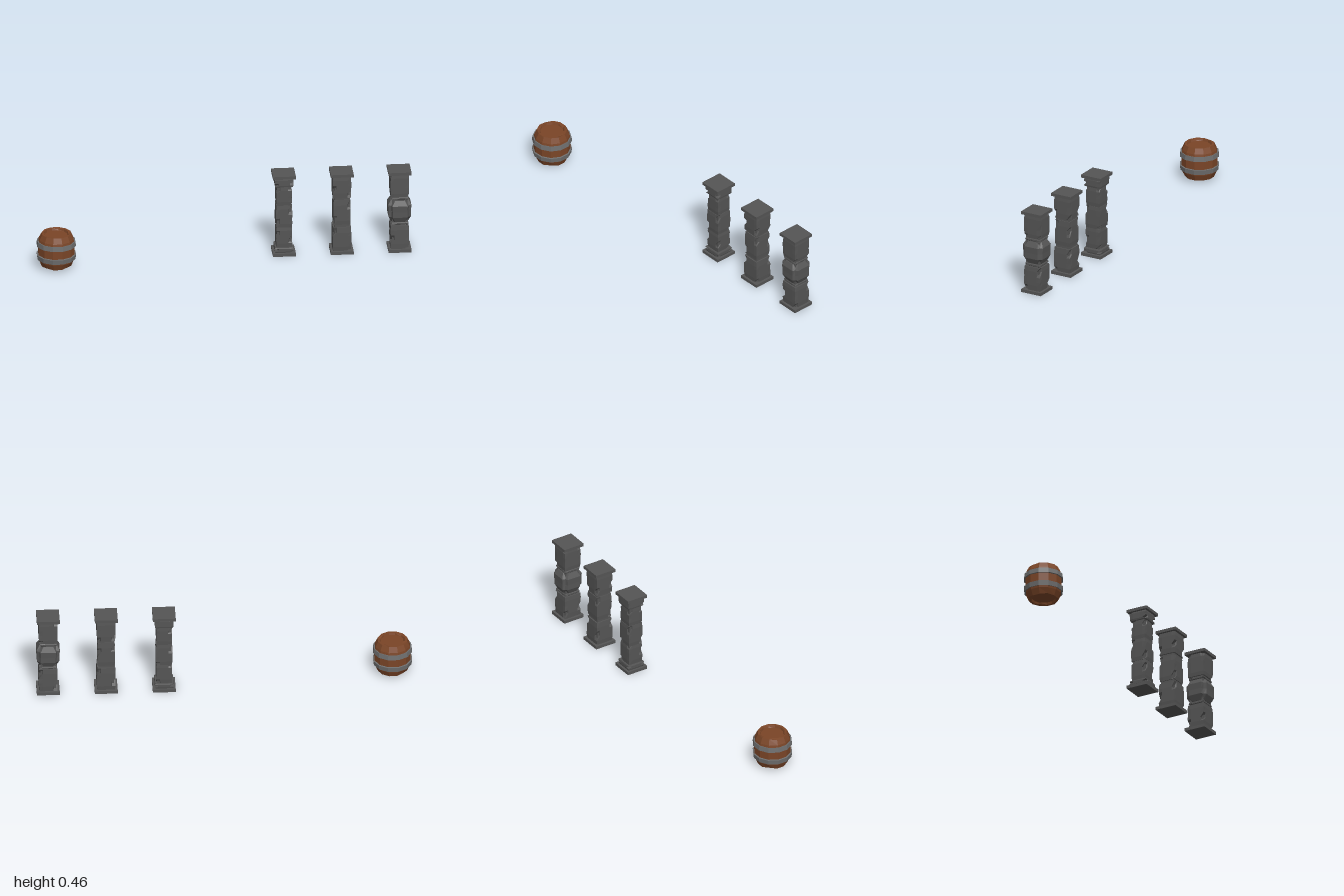
import * as THREE from 'three';

const stone = new THREE.MeshStandardMaterial({ color: 0x555555, flatShading: true });
const wood = new THREE.MeshStandardMaterial({ color: 0x7a4527, flatShading: true });
const iron = new THREE.MeshStandardMaterial({ color: 0x6e6e6e, flatShading: true });

function seeded(seed) {
  let s = seed;
  return () => (s = (s * 16807) % 2147483647) / 2147483647;
}

function add(parent, name, geometry, material, y = 0) {
  const mesh = new THREE.Mesh(geometry, material);
  mesh.name = name;
  mesh.position.y = y;
  parent.add(mesh);
  return mesh;
}

// Closed solid through horizontal rings { y, pts: [[x, z], ...] }, listed bottom to top
function loft(rings) {
  const pos = [];
  const n = rings[0].pts.length;
  const put = (r, i) => pos.push(r.pts[i % n][0], r.y, r.pts[i % n][1]);
  for (let k = 0; k < rings.length - 1; k++) {
    const lo = rings[k], hi = rings[k + 1];
    for (let i = 0; i < n; i++) {
      put(lo, i); put(hi, i); put(lo, i + 1);
      put(lo, i + 1); put(hi, i); put(hi, i + 1);
    }
  }
  const low = rings[0], top = rings[rings.length - 1];
  for (let i = 0; i < n; i++) {
    pos.push(0, low.y, 0); put(low, i); put(low, i + 1);
    pos.push(0, top.y, 0); put(top, i + 1); put(top, i);
  }
  const g = new THREE.BufferGeometry();
  g.setAttribute('position', new THREE.Float32BufferAttribute(pos, 3));
  g.computeVertexNormals();
  return g;
}

// Square ring with three points per corner; chips[c] cuts corner c inwards
function squareRing(y, half, chips, margin) {
  const pts = [];
  for (let c = 0; c < 4; c++) {
    const a = c * Math.PI / 2, cos = Math.cos(a), sin = Math.sin(a);
    const tip = half - chips[c], side = half - margin;
    for (const [x, z] of [[half, side], [tip, tip], [side, half]]) {
      pts.push([x * cos - z * sin, x * sin + z * cos]);
    }
  }
  return { y, pts };
}

// Stone block with notches broken out of its upright edges
function chippedBlock(y0, y1, half, rand) {
  const h = y1 - y0, levels = 6;
  const hits = [0, 1, 2, 3].map(() => Math.floor(rand() * levels));
  const rings = [];
  for (let k = 0; k < levels; k++) {
    const inner = k > 0 && k < levels - 1;
    const t = k / (levels - 1) + (inner ? (rand() - 0.5) * 0.08 : 0);
    const chips = hits.map((hit) => (hit === k ? 0.012 + rand() * 0.007 : rand() * 0.002));
    rings.push(squareRing(y0 + h * t, half - (inner ? 0 : 0.002), chips, 0.021));
  }
  return loft(rings);
}

// Swollen middle block with bevelled upright edges
function bulgedBlock(y0, y1, rand) {
  const h = y1 - y0;
  const profile = [[0, 0.046], [0.25, 0.06], [0.5, 0.06], [0.78, 0.062], [1, 0.047]];
  return loft(profile.map(([t, half]) => {
    const chips = [0, 1, 2, 3].map(() => 0.011 + rand() * 0.007);
    return squareRing(y0 + h * t, half, chips, 0.021);
  }));
}

// blocks: rows of [bottom, top, half width, bulged]
function pillar(name, x, blocks, coreHalf, seed) {
  const g = new THREE.Group();
  g.name = name;
  g.position.set(x, 0, -0.069);
  const rand = seeded(seed);
  add(g, 'basePlate', new THREE.BoxGeometry(0.122, 0.017, 0.122), stone, 0.0085);
  add(g, 'capPlate', new THREE.BoxGeometry(0.122, 0.016, 0.122), stone, 0.452);
  add(g, 'core', new THREE.BoxGeometry(coreHalf * 2, 0.42, coreHalf * 2), stone, 0.23);
  blocks.forEach(([y0, y1, half, bulged], i) => {
    const geo = bulged ? bulgedBlock(y0, y1, rand) : chippedBlock(y0, y1, half, rand);
    add(g, 'block' + (i + 1), geo, stone);
  });
  return g;
}

function barrel() {
  const g = new THREE.Group();
  g.name = 'barrel';
  g.position.set(-0.897, 0, 0.028);
  const lathe = (rows) => new THREE.LatheGeometry(
    rows.map(([r, y]) => new THREE.Vector2(r, y)), 12, Math.PI / 12);

  // Staves with a recessed lid at both ends
  const body = lathe([
    [0, 0.027], [0.062, 0.027], [0.066, 0.015], [0.08, 0.015], [0.094, 0.047], [0.099, 0.07],
    [0.099, 0.144], [0.094, 0.168], [0.08, 0.198], [0.066, 0.198], [0.062, 0.186], [0, 0.186],
  ]);
  // Worn stave ends: push a few rim corners back towards the middle
  const p = body.attributes.position;
  const rows = 12;
  for (const [column, row, dy] of [[1, 3, 0.006], [4, 2, 0.005], [7, 3, 0.007], [10, 3, 0.004],
    [2, 9, -0.006], [5, 9, -0.007], [8, 8, -0.004], [10, 9, -0.006]]) {
    const i = column * rows + row;
    p.setY(i, p.getY(i) + dy);
  }
  add(g, 'staves', body, wood);

  // Iron hoops, mirrored about the middle of the barrel
  add(g, 'lowerHoop', lathe([
    [0.092, 0.058], [0.1035, 0.056], [0.107, 0.082], [0.095, 0.084], [0.092, 0.058]]), iron);
  add(g, 'upperHoop', lathe([
    [0.095, 0.13], [0.107, 0.131], [0.1035, 0.157], [0.092, 0.155], [0.095, 0.13]]), iron);
  return g;
}

export function createModel() {
  const model = new THREE.Group();
  model.name = 'dungeonProps';
  model.add(barrel());
  model.add(pillar('slenderPillar', 0.322, [
    [0.017, 0.045, 0.05], [0.045, 0.16, 0.043], [0.16, 0.285, 0.044],
    [0.285, 0.395, 0.042], [0.395, 0.444, 0.05],
  ], 0.037, 1213));
  model.add(pillar('blockPillar', 0.63, [
    [0.017, 0.152, 0.05], [0.166, 0.308, 0.047], [0.32, 0.444, 0.05],
  ], 0.041, 5821));
  model.add(pillar('bulgedPillar', 0.938, [
    [0.017, 0.15, 0.05], [0.154, 0.167, 0.046], [0.17, 0.293, 0, true],
    [0.297, 0.31, 0.046], [0.314, 0.444, 0.05],
  ], 0.041, 9377));
  return model;
}
